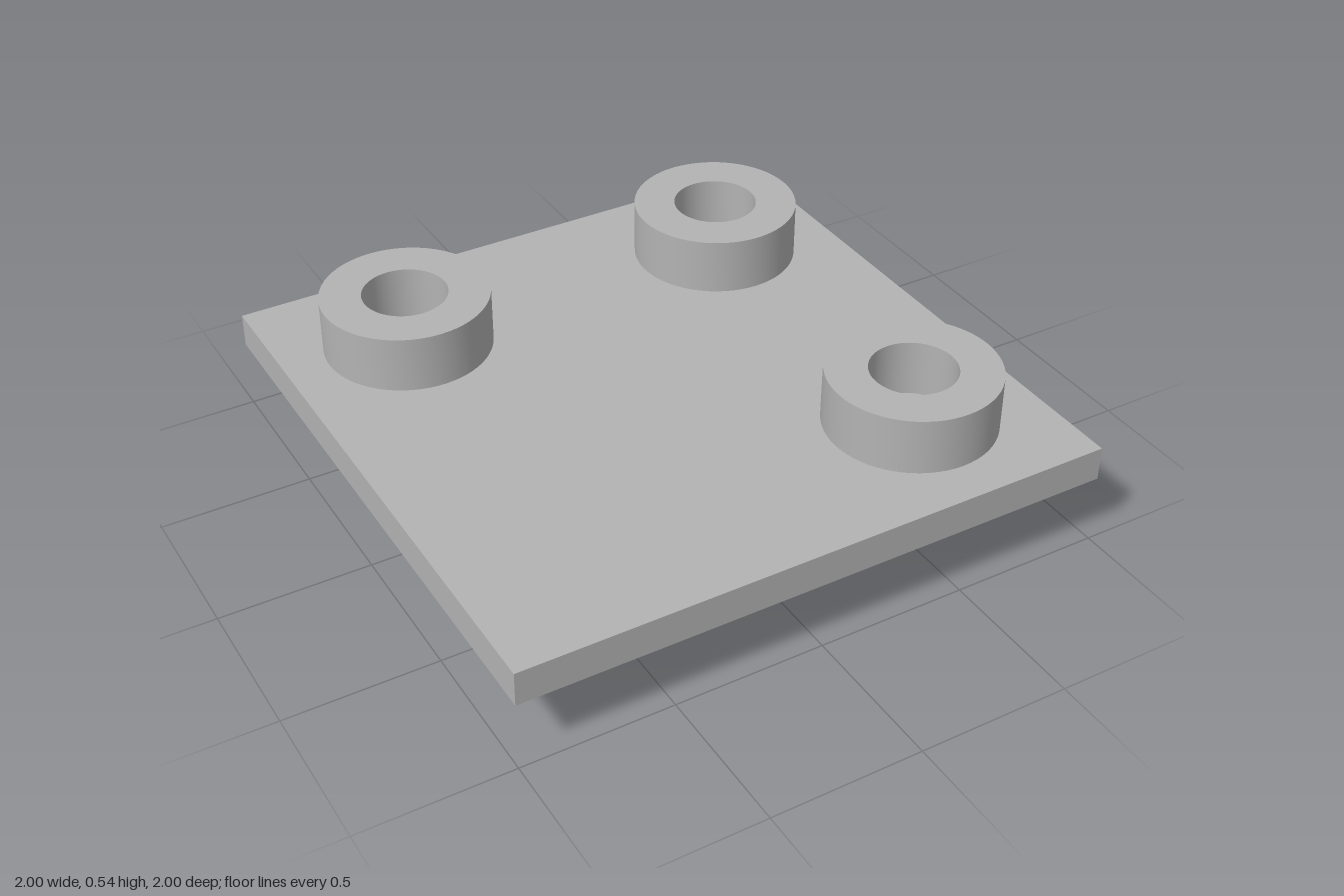
import * as THREE from 'three';
import { toCreasedNormals } from 'three/addons/utils/BufferGeometryUtils.js';

const OFFSET = 0.583;                  // distance of bosses and peg from the centre lines
const PLATE_BOTTOM = 0.235, PLATE_TOP = 0.35, BOSS_TOP = 0.54;
const BOSS_RADIUS = 0.277, BORE_RADIUS = 0.14, HOLE_RADIUS = 0.122, PEG_RADIUS = 0.113;
const CORNERS = [[-OFFSET, -OFFSET], [OFFSET, -OFFSET], [OFFSET, OFFSET]];

export function createModel() {
  const group = new THREE.Group();
  const grey = new THREE.MeshStandardMaterial({ color: 0xb3b3b3 });
  grey.name = 'grey';

  function add(name, geometry, x = 0, y = 0, z = 0) {
    const mesh = new THREE.Mesh(toCreasedNormals(geometry, 0.4), grey);
    mesh.name = name;
    mesh.position.set(x, y, z);
    group.add(mesh);
  }

  const turned = (points) =>
    new THREE.LatheGeometry(points.map(([r, y]) => new THREE.Vector2(r, y)), 64);

  // Square plate with a through hole under each boss
  const outline = new THREE.Shape([[-1, -1], [1, -1], [1, 1], [-1, 1]]
    .map(([x, y]) => new THREE.Vector2(x, y)));
  for (const [x, z] of CORNERS) {
    const hole = new THREE.Path();
    hole.absarc(x, -z, HOLE_RADIUS, 0, Math.PI * 2, true);
    outline.holes.push(hole);
  }
  const plate = new THREE.ExtrudeGeometry(outline, {
    depth: PLATE_TOP - PLATE_BOTTOM, bevelEnabled: false, curveSegments: 64,
  });
  plate.rotateX(-Math.PI / 2);
  add('plate', plate, 0, PLATE_BOTTOM, 0);

  // Ring bosses, bored slightly wider than the plate holes
  const bossHeight = BOSS_TOP - PLATE_TOP;
  for (const [x, z] of CORNERS) {
    add('boss', turned([
      [BOSS_RADIUS, 0], [BOSS_RADIUS, bossHeight],
      [BORE_RADIUS, bossHeight], [BORE_RADIUS, 0],
    ]), x, PLATE_TOP, z);
  }

  // Locating peg below the remaining corner, with a chamfered tip
  add('peg', turned([
    [0, 0], [0.098, 0], [PEG_RADIUS, 0.025], [PEG_RADIUS, PLATE_BOTTOM],
  ]), -OFFSET, 0, OFFSET);

  return group;
}
